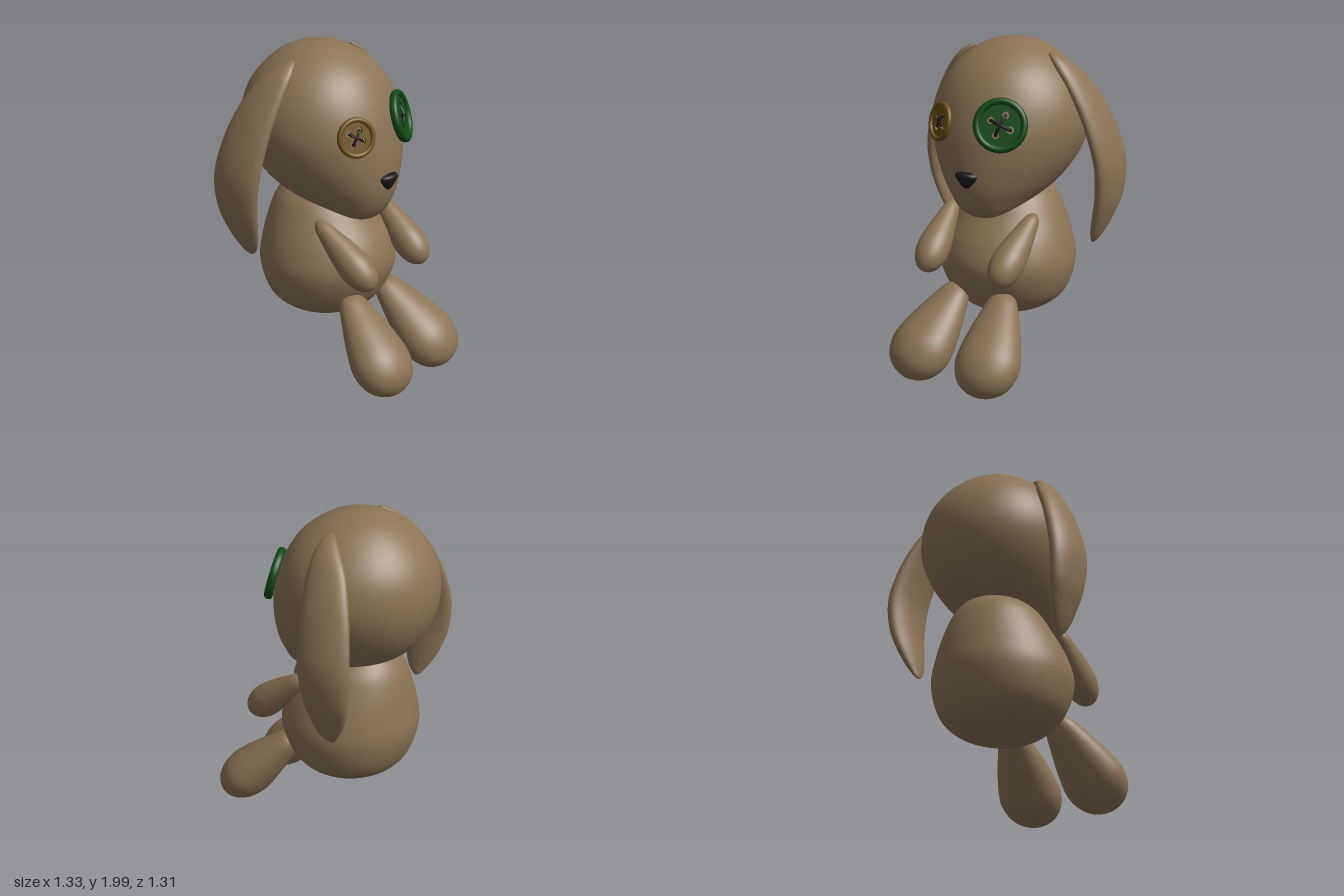
import * as THREE from 'three';
import { mergeVertices } from 'three/addons/utils/BufferGeometryUtils.js';

const mat = (color) => new THREE.MeshStandardMaterial({ color });
const fur = mat(0x8b7355);
const black = mat(0x1c1c1c);

// Smooth closed skin through sections [y, halfWidth, zFront, zBack, x], listed bottom to top.
// The first and last sections are poles; mirrored extra sections round them off.
function loft(sections, { tilt = false, rows = 48, cols = 48 } = {}) {
  const last = sections.length - 1;
  const centre = ([y, , f, b, x = 0]) => new THREE.Vector3(x, y, (f + b) / 2);
  const size = ([, w, f, b], k = 1) => new THREE.Vector3(w * k, (f - b) / 2 * k, 0);
  const ends = [sections[1], sections[last - 1]];
  const spline = (pts) => new THREE.CatmullRomCurve3(pts, false, 'catmullrom', 0.5);
  const path = spline([centre(ends[0]), ...sections.map(centre), centre(ends[1])]);
  const sizes = spline([size(ends[0], -1), ...sections.map((s) => size(s)), size(ends[1], -1)]);
  const pos = [], index = [];
  for (let i = 0; i <= rows; i++) {
    const u = (1 + (i / rows) * last) / (last + 2);
    const c = path.getPoint(u), s = sizes.getPoint(u);
    const t = tilt ? path.getTangent(u).setZ(0).normalize() : new THREE.Vector3(0, 1, 0);
    for (let j = 0; j < cols; j++) {
      const a = (j / cols) * Math.PI * 2, r = Math.cos(a) * s.x;
      pos.push(c.x + r * t.y, c.y - r * t.x, c.z + Math.sin(a) * s.y);
      if (i === rows) continue;
      const p = i * cols + j, q = i * cols + (j + 1) % cols;
      index.push(p, p + cols, q, q, p + cols, q + cols);
    }
  }
  let g = new THREE.BufferGeometry();
  g.setAttribute('position', new THREE.Float32BufferAttribute(pos, 3));
  g.setIndex(index);
  g = mergeVertices(g, 1e-5);
  g.computeVertexNormals();
  return g;
}

function add(parent, name, geometry, material) {
  const m = new THREE.Mesh(geometry, material);
  m.name = name;
  parent.add(m);
  return m;
}

// Teardrop limb from its thick end to its thin end
const LIMB = [[0, 0], [0.04, 0.5], [0.14, 0.85], [0.3, 1], [0.5, 0.89], [0.75, 0.64], [0.93, 0.4], [1, 0]];
function limb(thick, thin, rx, rz) {
  const axis = thin.clone().sub(thick), len = axis.length();
  const Y = axis.normalize();
  const X = new THREE.Vector3(1, 0, 0).addScaledVector(Y, -Y.x).normalize();
  const Z = X.clone().cross(Y);
  const g = loft(LIMB.map(([t, r]) => [t * len, r * rx, r * rz, -r * rz]), { cols: 36 });
  return g.applyMatrix4(new THREE.Matrix4().makeBasis(X, Y, Z).setPosition(thick));
}

// Sewn button of unit radius facing +z, scaled and turned into place
function button(name, color, radius, position, yaw, pitch, spin) {
  const b = new THREE.Group();
  b.name = name;
  const material = mat(color);
  const profile = [[0.74, -0.14], [0.93, -0.14], [1, -0.02], [0.98, 0.1], [0.88, 0.16], [0.78, 0.12], [0.74, 0.02]]
    .map(([r, z]) => new THREE.Vector2(r, z));
  add(b, 'buttonRim', new THREE.LatheGeometry(new THREE.SplineCurve(profile).getPoints(24), 48).rotateX(Math.PI / 2), material);

  const disc = new THREE.Shape().absarc(0, 0, 0.77, 0, Math.PI * 2);
  const holes = [0, 1, 2, 3].map((k) => {
    const a = (k * Math.PI) / 2 + Math.PI / 4;
    return new THREE.Vector3(Math.cos(a) * 0.4, Math.sin(a) * 0.4, 0);
  });
  for (const h of holes) disc.holes.push(new THREE.Path().absarc(h.x, h.y, 0.14, 0, Math.PI * 2, true));
  add(b, 'buttonFace', new THREE.ExtrudeGeometry(disc, { depth: 0.16, bevelEnabled: false, curveSegments: 32 })
    .translate(0, 0, -0.12), material);

  // Crossed threads running from hole to hole
  for (const k of [0, 1]) {
    const dip = (h) => h.clone().setZ(-0.06);
    const thread = new THREE.CubicBezierCurve3(dip(holes[k]), holes[k].clone().multiplyScalar(0.85).setZ(0.14),
      holes[k + 2].clone().multiplyScalar(0.85).setZ(0.14), dip(holes[k + 2]));
    add(b, 'thread', new THREE.TubeGeometry(thread, 20, 0.065, 8), black);
  }
  b.position.set(...position);
  b.rotation.set(-pitch, yaw, spin, 'YXZ');
  b.scale.setScalar(radius);
  return b;
}

export function createModel() {
  const model = new THREE.Group();
  model.name = 'plushDog';

  add(model, 'head', loft([
    [0.97, 0, 0.15, 0.15], [0.985, 0.09, 0.22, 0.06], [1.03, 0.175, 0.27, -0.06], [1.1, 0.26, 0.31, -0.36],
    [1.2, 0.345, 0.333, -0.52], [1.35, 0.43, 0.333, -0.62], [1.52, 0.47, 0.31, -0.66], [1.7, 0.435, 0.25, -0.63],
    [1.85, 0.335, 0.15, -0.53], [1.96, 0.18, -0.01, -0.38], [2, 0, -0.19, -0.19],
  ], { rows: 80, cols: 64 }), fur);

  add(model, 'body', loft([
    [0.315, 0, -0.14, -0.14], [0.33, 0.15, 0.02, -0.27], [0.38, 0.28, 0.13, -0.41], [0.48, 0.375, 0.22, -0.5],
    [0.65, 0.42, 0.285, -0.55], [0.8, 0.39, 0.25, -0.535], [0.95, 0.325, 0.15, -0.5], [1.07, 0.255, 0.06, -0.45],
    [1.16, 0.14, -0.07, -0.36], [1.19, 0, -0.22, -0.22],
  ], { rows: 64, cols: 64 }), fur);

  add(model, 'nose', loft([
    [1.183, 0, 0.315, 0.315], [1.195, 0.028, 0.342, 0.28], [1.225, 0.056, 0.358, 0.27], [1.26, 0.074, 0.372, 0.27],
    [1.282, 0.056, 0.366, 0.27], [1.29, 0, 0.32, 0.32],
  ], { rows: 28, cols: 32 }), black);

  // Paired parts: drooping ears, arms and legs
  const ear = [
    [0.77, 0, -0.31, -0.31, 0.497], [0.83, 0.026, -0.24, -0.37, 0.522], [0.95, 0.046, -0.2, -0.435, 0.558],
    [1.1, 0.06, -0.173, -0.475, 0.592], [1.3, 0.065, -0.147, -0.482, 0.593], [1.55, 0.057, -0.125, -0.435, 0.52],
    [1.75, 0.048, -0.11, -0.355, 0.42], [1.87, 0.034, -0.115, -0.255, 0.33], [1.93, 0, -0.165, -0.165, 0.26],
  ];
  for (const [side, s] of [['left', 1], ['right', -1]]) {
    const at = (x, y, z) => new THREE.Vector3(x * s, y, z);
    add(model, side + 'Ear', loft(ear.map(([y, w, f, b, x]) => [y, w, f, b, x * s]), { tilt: true, rows: 64 }), fur);
    add(model, side + 'Arm', limb(at(0.25, 0.662, 0.42), at(0.285, 1.0, 0.02), 0.1, 0.1), fur);
    add(model, side + 'Leg', limb(at(0.27, 0.045, 0.612), at(0.155, 0.52, 0.15), 0.2, 0.152), fur);
  }

  // Mismatched button eyes
  const deg = Math.PI / 180;
  model.add(button('leftEye', 0x114a14, 0.157, [0.195, 1.575, 0.268], 25 * deg, 16 * deg, 20 * deg));
  model.add(button('rightEye', 0x6b4f12, 0.117, [-0.22, 1.545, 0.264], -27 * deg, 13 * deg, 15 * deg));
  return model;
}
